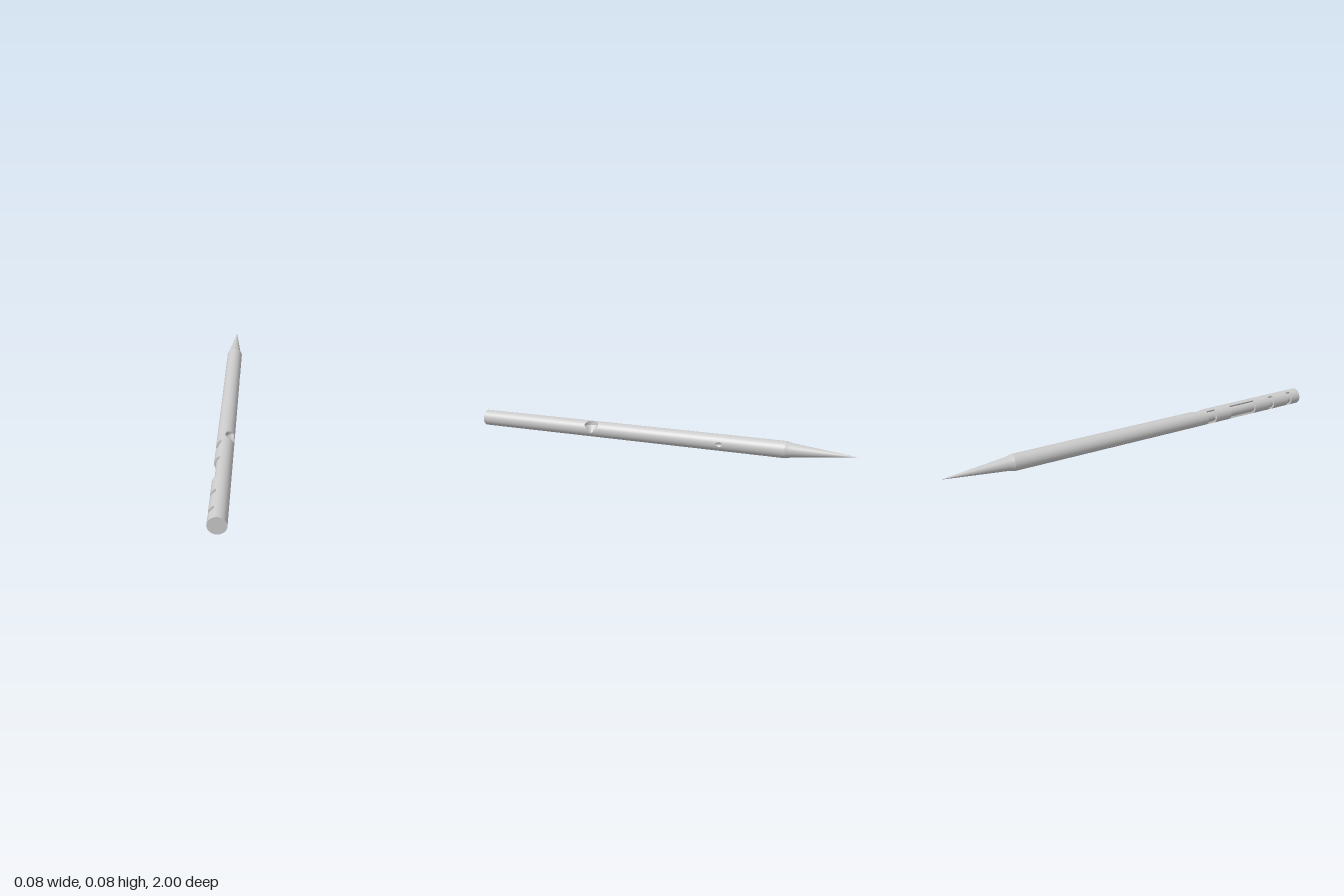
import * as THREE from 'three';
import { toCreasedNormals } from 'three/addons/utils/BufferGeometryUtils.js';

const R = 0.041;                 // rod radius
const Z_FRONT = 1, Z_NECK = -0.66;
const GROOVE_R = 0.031;          // radius at the bottom of the side grooves
const GROOVE_HALF = 1.19;        // half the angle a groove wraps round -x
const GROOVES = [[0.92, 0.945], [0.8, 0.825], [0.545, 0.7], [0.4, 0.45]];
const DRILL = { x: 0.037, z: 0.35, r: 0.037, tip: -0.016 };
const DIMPLE = { z: -0.34, halfLength: 0.016, halfAngle: 0.24, depth: 0.006 };

// Vertical drilled pocket with a cone-shaped bottom (y measured from the axis)
function inDrill(x, y, z) {
  const d = Math.hypot(x - DRILL.x, z - DRILL.z);
  return d < DRILL.r && y > DRILL.tip + d;
}

// Radius of the rod surface after all cuts
function surfaceRadius(a, z) {
  const inGroove = Math.abs(a - Math.PI) < GROOVE_HALF &&
    GROOVES.some(([lo, hi]) => z > lo && z < hi);
  let r = inGroove ? GROOVE_R : R;
  const c = Math.cos(a), s = Math.sin(a);
  while (r > 0.0005 && inDrill(r * c, r * s, z)) r -= 0.0002;
  const around = Math.atan2(s, c) / DIMPLE.halfAngle;
  const along = (z - DIMPLE.z) / DIMPLE.halfLength;
  const e = around * around + along * along;
  if (e < 1) r -= DIMPLE.depth * Math.sqrt(1 - e);
  return r;
}

function range(from, to, n) {
  return Array.from({ length: n + 1 }, (_, i) => from + (to - from) * i / n);
}

function rodGeometry() {
  // Paired rows and columns keep the groove walls steep
  const eps = 0.0003;
  const rows = [Z_FRONT, Z_NECK,
    ...range(DRILL.z - 0.038, DRILL.z + 0.038, 48),
    ...range(DIMPLE.z - 0.017, DIMPLE.z + 0.017, 20)];
  for (const z of GROOVES.flat()) rows.push(z - eps, z + eps);
  rows.sort((p, q) => q - p);
  const angles = range(0, Math.PI * 2, 144);
  for (const a of [Math.PI - GROOVE_HALF, Math.PI + GROOVE_HALF]) {
    angles.push(a - 0.007, a + 0.007);
  }
  angles.sort((p, q) => p - q);

  const pos = [], index = [];
  const n = angles.length;
  const addRow = (z, closed) => angles.forEach(a => {
    const r = closed ? 0 : surfaceRadius(a, z);
    pos.push(r * Math.cos(a), r * Math.sin(a), z);
  });
  addRow(Z_FRONT, true);         // flat front end
  rows.forEach(z => addRow(z, false));
  for (let i = 0; i < rows.length; i++) {
    for (let j = 0; j < n - 1; j++) {
      const a = i * n + j, b = a + 1, c = a + n, d = c + 1;
      if (i > 0) index.push(a, c, b);
      index.push(b, c, d);
    }
  }
  const g = new THREE.BufferGeometry();
  g.setAttribute('position', new THREE.Float32BufferAttribute(pos, 3));
  g.setIndex(index);
  // Enlarged while creasing so that close vertices stay distinct
  g.scale(1000, 1000, 1000);
  const creased = toCreasedNormals(g, 0.6);
  creased.scale(0.001, 0.001, 0.001);
  return creased;
}

export function createModel() {
  const group = new THREE.Group();
  group.name = 'pointedRod';
  const material = new THREE.MeshStandardMaterial({ color: 0xcccccc });

  // Rod with side grooves, drilled pocket and dimple
  const rod = new THREE.Mesh(rodGeometry(), material);
  rod.name = 'notchedRod';

  // Short shoulder, then a long sharp point
  const profile = [[R, -Z_NECK], [0.0335, 0.69], [0.017, 0.845], [0, 1]]
    .map(([r, y]) => new THREE.Vector2(r, y));
  const point = new THREE.Mesh(new THREE.LatheGeometry(profile, 72), material);
  point.name = 'taperedPoint';
  point.rotation.x = -Math.PI / 2;

  group.add(rod, point);
  group.children.forEach(m => { m.position.y = R; });
  return group;
}
